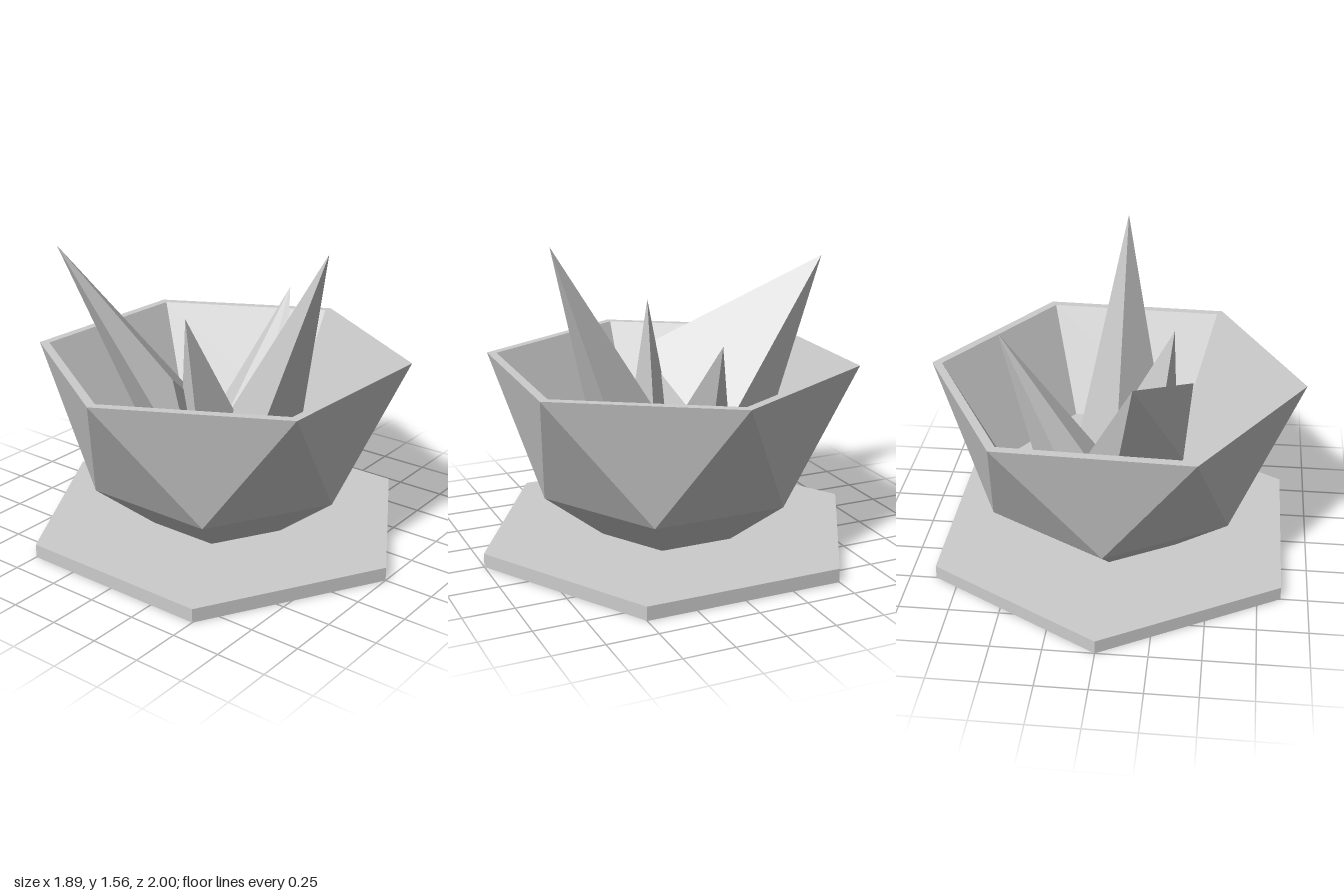
import * as THREE from 'three';
import { ConvexGeometry } from 'three/addons/geometries/ConvexGeometry.js';

const stone = new THREE.MeshStandardMaterial({ color: 0xcccccc, flatShading: true });
stone.name = 'pale grey';

// Joins six-sided rings [radius, height, turn in degrees] into one faceted skin
function ringSkin(rings) {
  const point = ([r, y, turn], k) => {
    const a = THREE.MathUtils.degToRad(turn + k * 60);
    return [r * Math.sin(a), y, r * Math.cos(a)];
  };
  const pos = [];
  for (let i = 0; i < rings.length - 1; i++) {
    const lower = rings[i], upper = rings[i + 1];
    for (let k = 0; k < 6; k++) {
      pos.push(...point(lower, k), ...point(lower, k + 1), ...point(upper, k));
      if (upper[0] > 0) pos.push(...point(upper, k), ...point(lower, k + 1), ...point(upper, k + 1));
    }
  }
  const geo = new THREE.BufferGeometry();
  geo.setAttribute('position', new THREE.Float32BufferAttribute(pos, 3));
  geo.computeVertexNormals();
  return geo;
}

export function createModel() {
  const group = new THREE.Group();
  group.name = 'crystalBowl';
  const add = (name, geo) => {
    const mesh = new THREE.Mesh(geo, stone);
    mesh.name = name;
    group.add(mesh);
    return mesh;
  };

  // Hexagonal plate under the bowl
  add('basePlate', new THREE.CylinderGeometry(1, 1, 0.07, 6)).position.y = 0.035;

  // Bowl: foot, belly, twisted rim, then inside wall and floor
  add('bowl', ringSkin([
    [0.375, 0.07, 0], [0.68, 0.31, 0], [0.945, 0.95, 28],
    [0.895, 0.95, 28], [0.6, 0.41, 28], [0, 0.41, 28],
  ]));

  // Leaning shards: the tip first, then the corners of the foot
  const shards = {
    frontShard: [[0, 1.56, 0.62], [-0.24, 0.39, 0.3], [0.24, 0.39, 0.3], [0, 0.53, -0.02]],
    leftShard: [[0.595, 1.15, 0], [0.07, 0.41, -0.11], [0.07, 0.41, 0.1],
      [0.195, 0.41, 0.25], [0.42, 0.41, 0], [0.19, 0.41, -0.26]],
    rightShard: [[-0.285, 1.2, 0], [-0.31, 0.41, 0.12], [0.12, 0.41, 0.125], [-0.19, 0.41, -0.12]],
    backShard: [[-0.165, 1.38, -0.96], [-0.385, 0.92, 0], [0.165, 0.52, -0.19],
      [-0.34, 0.41, 0.1], [0, 0.41, -0.53]],
  };
  for (const [name, pts] of Object.entries(shards)) {
    add(name, new ConvexGeometry(pts.map((p) => new THREE.Vector3(...p))));
  }
  return group;
}
